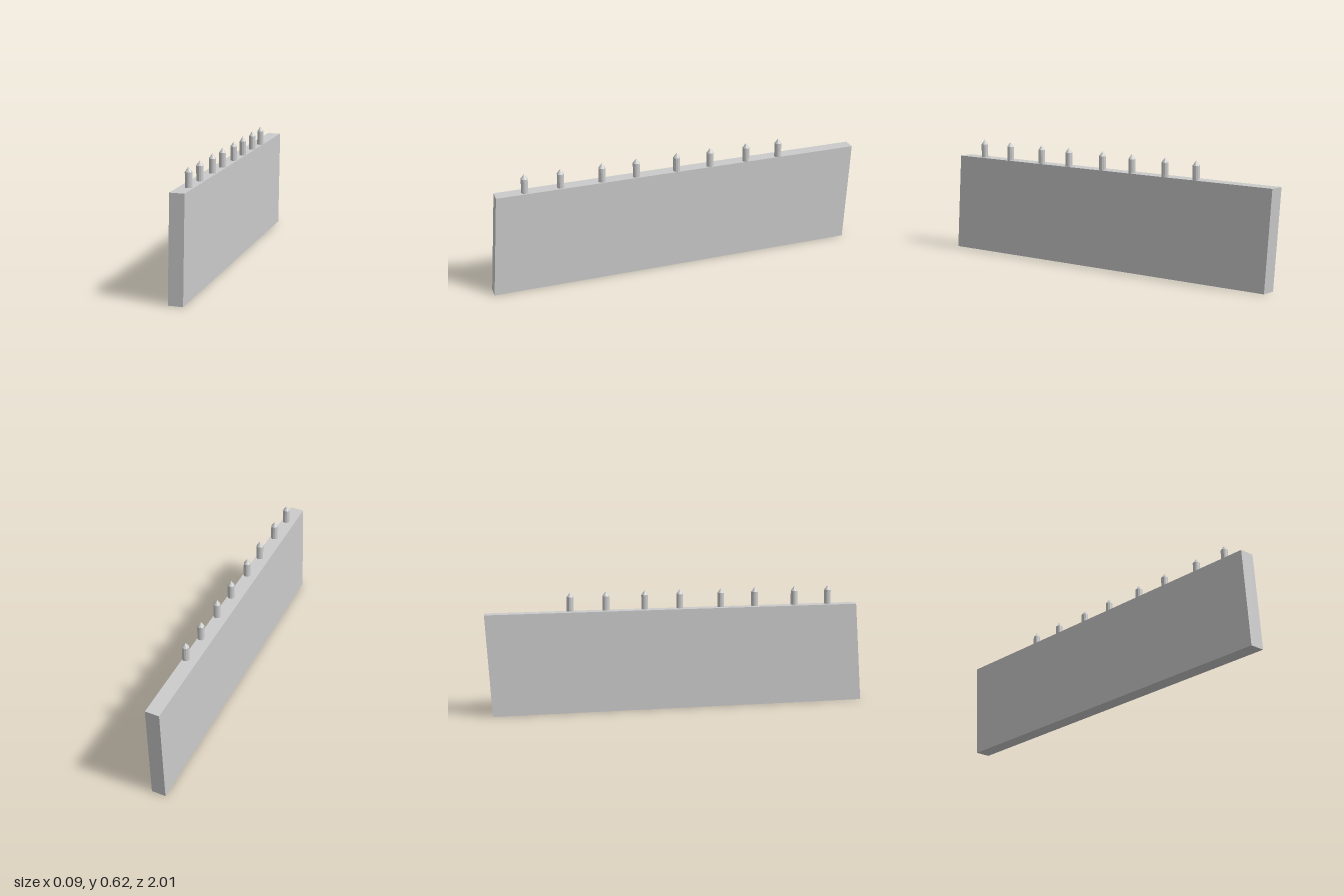
import * as THREE from 'three';

export function createModel() {
  const model = new THREE.Group();
  const material = new THREE.MeshStandardMaterial({ color: 0xcccccc, flatShading: true });

  // Thin upright panel, raked backwards and slightly skewed in plan
  const height = 0.517;
  const panelGeometry = new THREE.BoxGeometry(0.075, height, 1.965);
  panelGeometry.translate(0, height / 2, 0);
  const pos = panelGeometry.attributes.position;
  for (let i = 0; i < pos.count; i++) {
    const x = pos.getX(i), y = pos.getY(i), z = pos.getZ(i);
    pos.setX(i, x + z * 0.0076);
    pos.setZ(i, z + x * 0.1 + 0.0155 - 0.034 * (y / height));
  }
  panelGeometry.computeVertexNormals();
  const panel = new THREE.Mesh(panelGeometry, material);
  panel.name = 'panel';
  model.add(panel);

  // Row of pointed pegs along the top edge, in pairs
  const radius = 0.018, shaft = 0.073, tip = 0.025;
  const shaftGeometry = new THREE.CylinderGeometry(radius, radius, shaft, 12);
  const tipGeometry = new THREE.ConeGeometry(radius, tip, 12);
  const pegPositions = [0.815, 0.63, 0.413, 0.23, 0.01, -0.175, -0.378, -0.562];
  for (const z of pegPositions) {
    const peg = new THREE.Group();
    peg.name = 'peg';
    const pegShaft = new THREE.Mesh(shaftGeometry, material);
    pegShaft.name = 'pegShaft';
    pegShaft.position.y = shaft / 2;
    const pegTip = new THREE.Mesh(tipGeometry, material);
    pegTip.name = 'pegTip';
    pegTip.position.y = shaft + tip / 2;
    peg.add(pegShaft, pegTip);
    peg.position.set(0.018, height, z);
    model.add(peg);
  }
  return model;
}
